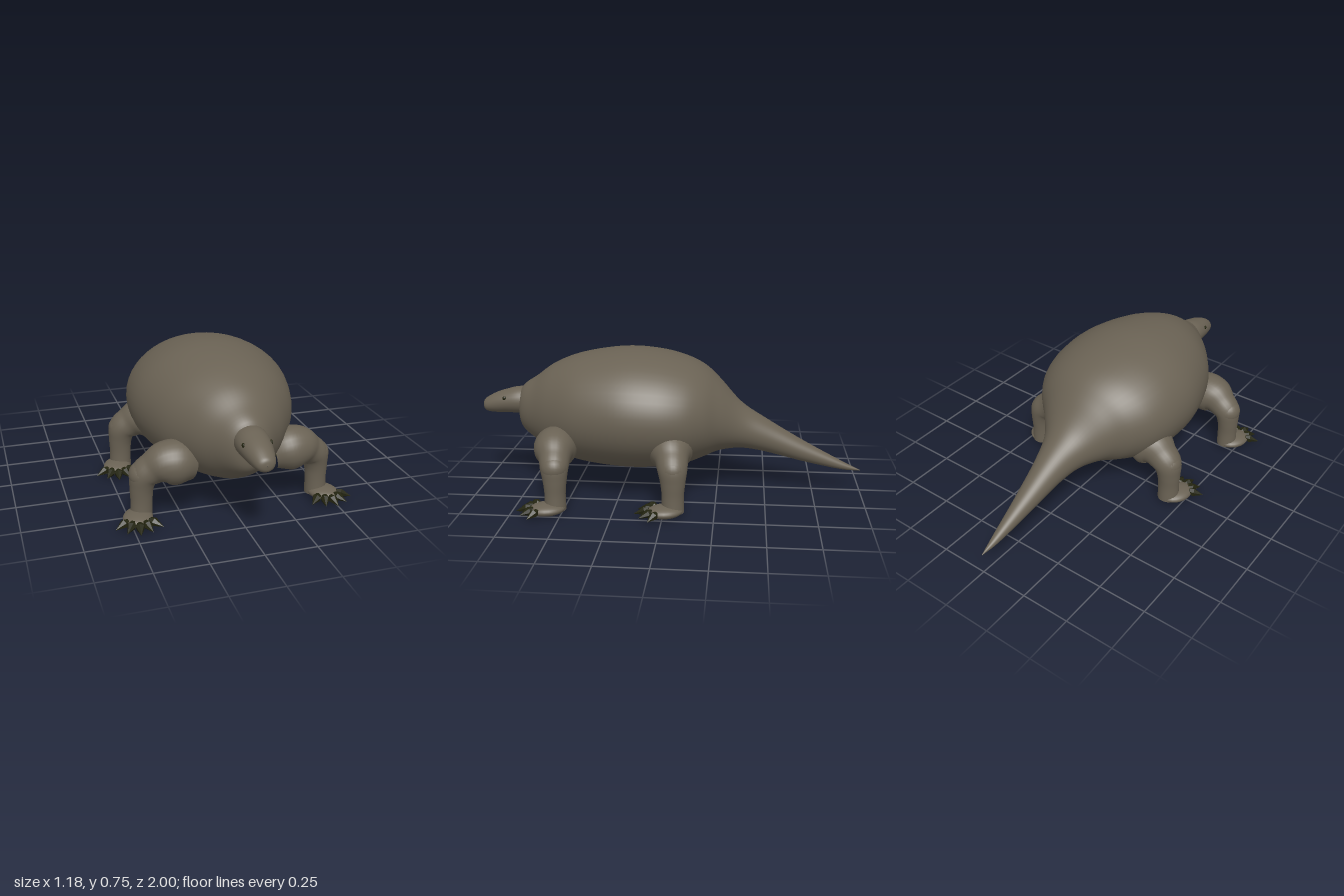
import * as THREE from 'three';

const V = (x, y, z) => new THREE.Vector3(x, y, z);

// Smooth skin through sections [x, y, z, radiusN, radiusB]; axis is the N direction,
// fixedT keeps all rings parallel instead of square to the path.
function loft(sections, axis, rings, sides, fixedT) {
  const path = new THREE.CatmullRomCurve3(sections.map(s => V(s[0], s[1], s[2])), false, 'catmullrom', 0.5);
  const radii = new THREE.CatmullRomCurve3(sections.map(s => V(s[3], s[4], 0)), false, 'catmullrom', 0.5);
  const pos = [], index = [];
  for (let i = 0; i <= rings; i++) {
    const t = i / rings, p = path.getPoint(t), r = radii.getPoint(t);
    const T = fixedT ? fixedT.clone() : path.getTangent(t);
    const B = T.clone().cross(axis).normalize();
    const N = B.clone().cross(T).normalize();
    for (let j = 0; j < sides; j++) {
      const a = j / sides * Math.PI * 2;
      const q = p.clone()
        .addScaledVector(N, Math.cos(a) * Math.max(r.x, 0.001))
        .addScaledVector(B, Math.sin(a) * Math.max(r.y, 0.001));
      pos.push(q.x, q.y, q.z);
      if (i < rings) {
        const k = i * sides + j, l = i * sides + (j + 1) % sides;
        index.push(k, l, k + sides, l, l + sides, k + sides);
      }
    }
  }
  const g = new THREE.BufferGeometry();
  g.setAttribute('position', new THREE.Float32BufferAttribute(pos, 3));
  g.setIndex(index);
  g.computeVertexNormals();
  return g;
}

// Profile row [z, half width, bottom, top] to a loft section
const row = ([z, w, lo, hi]) => [0, (lo + hi) / 2, z, w, (hi - lo) / 2];

export function createModel() {
  const model = new THREE.Group();
  model.name = 'armouredReptile';
  const skin = new THREE.MeshStandardMaterial({ color: 0x6a6254 });
  skin.name = 'brown skin';
  const horn = new THREE.MeshStandardMaterial({ color: 0x232410 });
  horn.name = 'dark horn';

  const add = (parent, name, geometry, material, position) => {
    const m = new THREE.Mesh(geometry, material);
    m.name = name;
    if (position) m.position.copy(position);
    parent.add(m);
    return m;
  };

  // Body running into the tail
  const body = [
    [0.8, 0.005, 0.41, 0.42], [0.785, 0.085, 0.31, 0.525], [0.7, 0.165, 0.24, 0.59],
    [0.6, 0.245, 0.185, 0.66], [0.45, 0.335, 0.145, 0.715], [0.24, 0.397, 0.125, 0.745],
    [0.06, 0.4, 0.13, 0.735], [-0.08, 0.365, 0.15, 0.702], [-0.18, 0.3, 0.185, 0.655],
    [-0.26, 0.22, 0.215, 0.585], [-0.37, 0.13, 0.225, 0.467], [-0.5, 0.085, 0.205, 0.382],
    [-0.7, 0.052, 0.155, 0.265], [-0.9, 0.022, 0.115, 0.16], [-1, 0.001, 0.109, 0.112],
  ].map(row);
  add(model, 'bodyAndTail', loft(body, V(1, 0, 0), 84, 48, V(0, 0, -1)), skin);

  // Head
  const head = [
    [0.7, 0.07, 0.38, 0.52], [0.8, 0.078, 0.382, 0.525], [0.87, 0.072, 0.384, 0.51],
    [0.93, 0.06, 0.383, 0.49], [0.975, 0.046, 0.388, 0.466], [0.994, 0.028, 0.4, 0.45],
    [1, 0.001, 0.424, 0.426],
  ].map(row);
  add(model, 'head', loft(head, V(1, 0, 0), 30, 28, V(0, 0, 1)), skin);

  const clawShape = new THREE.LatheGeometry(
    [[0, 0], [0.014, 0.008], [0.022, 0.03], [0, 0.085]].map(p => new THREE.Vector2(...p)), 6
  ).toNonIndexed();
  clawShape.computeVertexNormals();

  for (const s of [1, -1]) {
    const side = s > 0 ? 'left' : 'right';
    const eye = add(model, side + 'Eye', new THREE.SphereGeometry(0.011, 12, 8), horn, V(s * 0.064, 0.474, 0.87));
    eye.scale.x = 0.6;

    for (const front of [true, false]) {
      const leg = new THREE.Group();
      leg.name = side + (front ? 'Front' : 'Hind') + 'Leg';
      leg.position.set(front ? 0 : -s * 0.018, 0, front ? 0 : -0.578);
      model.add(leg);

      // Thigh, knee and shin in one skin
      const k = front ? 1 : 1.05;
      const limb = [
        [0.2, 0.27, 0.55, 0.08, 0.08], [0.27, 0.285, 0.555, 0.107, 0.107], [0.335, 0.285, 0.55, 0.1, 0.1],
        [0.385, 0.262, 0.54, 0.078, 0.078], [0.425, 0.228, 0.533, 0.07, 0.07],
        [0.438, 0.17, 0.53, 0.059, 0.057], [0.44, 0.1, 0.53, 0.052, 0.052], [0.442, 0.02, 0.53, 0.053, 0.053],
      ].map(([x, y, z, a, b]) => [s * x, y, z, a * k, b * k]);
      add(leg, 'limb', loft(limb, V(0, 0, 1), 36, 24), skin);
      add(leg, 'knee', new THREE.SphereGeometry(0.066, 24, 16), skin, V(s * 0.432, 0.232, 0.532));

      // Foot, flat and turned slightly outward
      const foot = add(leg, 'foot', new THREE.SphereGeometry(1, 24, 16), skin, V(s * 0.467, 0.031, 0.566));
      foot.scale.set(0.07, 0.031, 0.09);
      foot.rotation.y = s * 0.35;

      // Five fanned claws
      const tips = [[0.368, 0.67], [0.425, 0.705], [0.485, 0.718], [0.542, 0.688], [0.588, 0.64]];
      tips.forEach(([x, z], i) => {
        const tip = V(s * x, 0.02, z);
        const dir = tip.clone().sub(V(s * 0.467, 0.055, 0.575)).normalize();
        const claw = add(leg, 'claw' + (i + 1), clawShape, horn, tip.clone().addScaledVector(dir, -0.085));
        claw.quaternion.setFromUnitVectors(V(0, 1, 0), dir);
      });
    }
  }
  return model;
}
